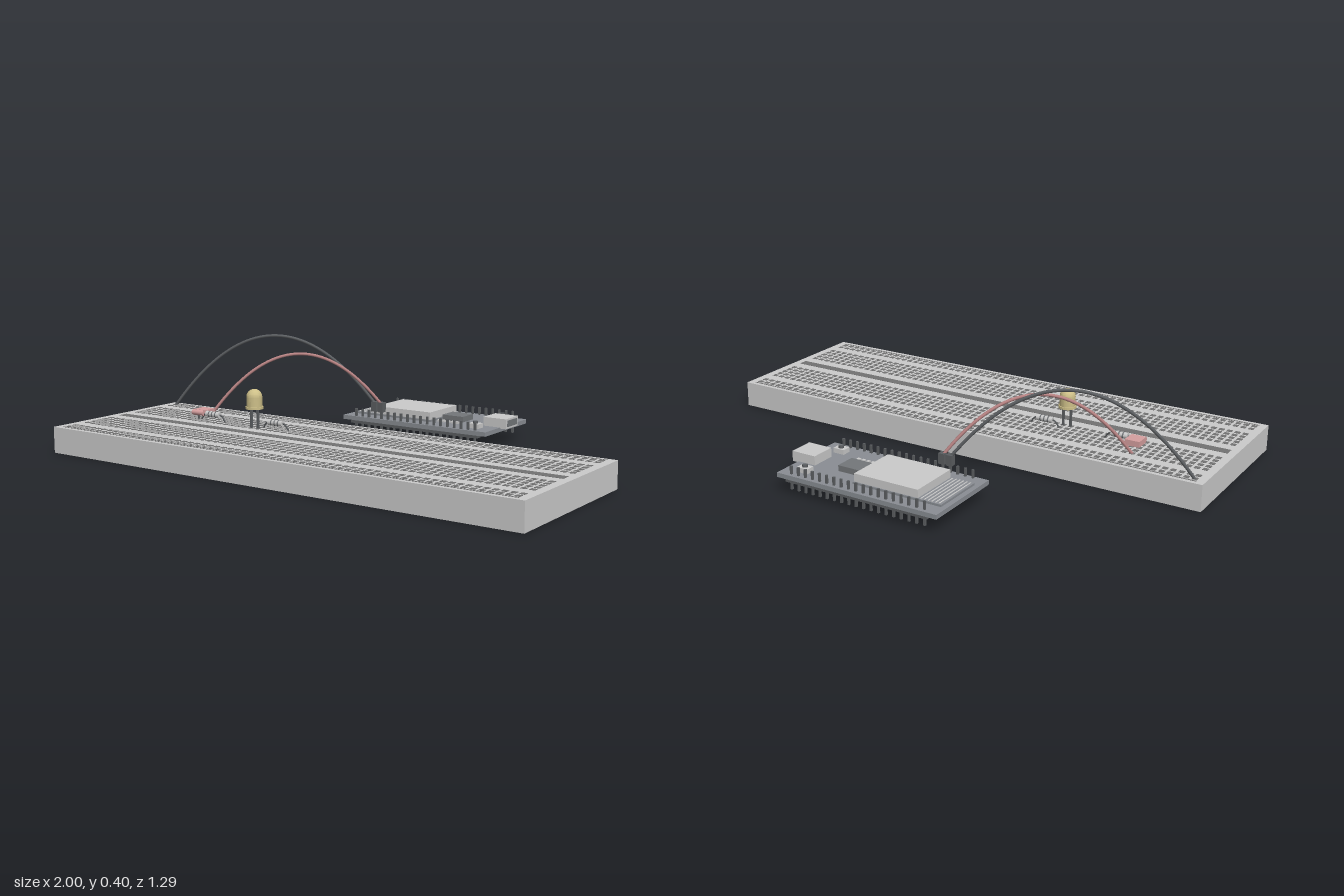
import * as THREE from 'three';
import { mergeGeometries } from 'three/addons/utils/BufferGeometryUtils.js';

const mat = (color) => new THREE.MeshStandardMaterial({ color });
const GREY = mat(0xcccccc);
const HOLE = mat(0x737373);
const DARK = mat(0x5c5f62);
const PCB = mat(0x8a8e94);
const CHIP = mat(0x74777a);
const METAL = mat(0xc4c6c8);
const PINK = mat(0xd6a0a0);
const RED = mat(0xb98484);
const YELLOW = mat(0xcdbf88);

export function createModel() {
  const root = new THREE.Group();

  function add(parent, name, geometry, material) {
    const mesh = new THREE.Mesh(geometry, material);
    mesh.name = name;
    parent.add(mesh);
    return mesh;
  }
  function group(name) {
    const g = new THREE.Group();
    g.name = name;
    root.add(g);
    return g;
  }
  // Box given by its limits on each axis
  function boxGeo(x0, x1, y0, y1, z0, z1) {
    return new THREE.BoxGeometry(x1 - x0, y1 - y0, z1 - z0)
      .translate((x0 + x1) / 2, (y0 + y1) / 2, (z0 + z1) / 2);
  }
  const box = (parent, name, mtl, ...limits) => add(parent, name, boxGeo(...limits), mtl);
  const PITCH = 0.0309;

  // Breadboard: slab, centre channel, rail lines and rows of holes
  const board = group('breadboard');
  const mid = 0.312;
  box(board, 'boardBody', GREY, -1, 1, 0, 0.1, -0.02, 0.645);
  box(board, 'centreChannel', HOLE, -0.97, 0.97, 0.095, 0.101, mid - 0.019, mid + 0.019);
  const holes = [];
  const offsets = [0.074, 0.105, 0.136, 0.167, 0.198, 0.262, 0.293];
  for (const side of [-1, 1]) {
    box(board, 'railLine', HOLE, -0.97, 0.97, 0.098, 0.1008,
      mid + side * 0.312 - 0.003, mid + side * 0.312 + 0.003);
    for (const o of offsets) {
      for (let c = -31; c <= 31; c++) {
        const x = c * PITCH, z = mid + side * o;
        holes.push(boxGeo(x - 0.01, x + 0.01, 0.098, 0.101, z - 0.01, z + 0.01));
      }
    }
  }
  add(board, 'holes', mergeGeometries(holes), HOLE);

  // Controller board with pin headers
  const ctrl = group('controllerBoard');
  box(ctrl, 'circuitBoard', PCB, -0.335, 0.33, 0.055, 0.072, -0.645, -0.31);
  const pins = [];
  for (const z of [-0.628, -0.322]) {
    box(ctrl, 'pinHeader', DARK, -0.295, 0.295, 0.044, 0.055, z - 0.014, z + 0.014);
    for (let i = -9; i <= 9; i++) {
      const x = i * PITCH;
      pins.push(boxGeo(x - 0.004, x + 0.004, 0.014, 0.103, z - 0.004, z + 0.004));
    }
  }
  add(ctrl, 'pins', mergeGeometries(pins), DARK);

  // Radio module with shield and antenna strips
  box(ctrl, 'modulePlate', PCB, -0.315, 0.045, 0.072, 0.08, -0.585, -0.373);
  box(ctrl, 'moduleShield', METAL, -0.22, 0.042, 0.08, 0.11, -0.58, -0.376);
  for (let i = 0; i < 6; i++) {
    const x = -0.304 + i * 0.0145;
    box(ctrl, 'antennaStrip', METAL, x - 0.002, x + 0.002, 0.079, 0.082, -0.58, -0.378);
  }

  // Chip, socket, buttons and small components
  box(ctrl, 'chip', CHIP, 0.06, 0.155, 0.072, 0.094, -0.52, -0.44);
  box(ctrl, 'usbSocket', METAL, 0.255, 0.355, 0.068, 0.107, -0.525, -0.428);
  box(ctrl, 'usbOpening', CHIP, 0.345, 0.357, 0.075, 0.1, -0.514, -0.439);
  for (const z of [-0.585, -0.373]) {
    box(ctrl, 'buttonBase', METAL, 0.228, 0.274, 0.072, 0.09, z - 0.018, z + 0.018);
    add(ctrl, 'buttonCap', new THREE.CylinderGeometry(0.01, 0.01, 0.009, 16), DARK)
      .position.set(0.251, 0.094, z);
  }
  for (let i = 0; i < 5; i++) {
    const x = 0.066 + i * 0.021;
    box(ctrl, 'smallComponent', METAL, x - 0.006, x + 0.006, 0.072, 0.08, -0.413, -0.398);
  }

  // Jumper wires: arched lead with a plug on the controller pins
  const wires = group('jumperWires');
  function wire(name, mtl, start, peak, px) {
    const a = new THREE.Vector3(...start);
    const b = new THREE.Vector3(px, 0.13, -0.322);
    const c = a.clone().add(b).multiplyScalar(0.5);
    c.y = 2 * peak - c.y;
    const curve = new THREE.QuadraticBezierCurve3(a, c, b);
    add(wires, name, new THREE.TubeGeometry(curve, 48, 0.006, 8), mtl);
    box(wires, name + 'Plug', DARK, px - 0.012, px + 0.012, 0.1, 0.14, -0.334, -0.31);
  }
  wire('darkWire', DARK, [-0.957, 0.098, 0.019], 0.398, -6 * PITCH);
  wire('redWire', RED, [-0.68, 0.098, 0.114], 0.34, -5 * PITCH);

  // Light: domed lens with a flange, on two legs
  const led = group('light');
  led.position.set(-0.355, 0, 0.235);
  const profile = [[0, 0.175], [0.034, 0.175], [0.034, 0.184], [0.03, 0.184], [0.03, 0.22]]
    .map(([r, y]) => new THREE.Vector2(r, y));
  for (let i = 1; i <= 8; i++) {
    const t = (i / 8) * Math.PI / 2;
    profile.push(new THREE.Vector2(Math.max(0, 0.03 * Math.cos(t)), 0.22 + 0.03 * Math.sin(t)));
  }
  const lens = new THREE.LatheGeometry(profile, 28).toNonIndexed();
  lens.computeVertexNormals();
  add(led, 'lens', lens, YELLOW);
  for (const x of [-PITCH / 2, PITCH / 2]) {
    box(led, 'lightLeg', DARK, x - 0.004, x + 0.004, 0.098, 0.176, -0.004, 0.004);
  }

  // Resistors: body along x, leads bent down into the board
  for (const x of [-0.588, -0.278]) {
    const r = group('resistor');
    r.position.set(x, 0.124, 0.204);
    add(r, 'resistorBody', new THREE.CylinderGeometry(0.012, 0.012, 0.066, 16).rotateZ(Math.PI / 2), GREY);
    for (const b of [-0.016, 0, 0.016]) {
      add(r, 'resistorBand', new THREE.CylinderGeometry(0.0125, 0.0125, 0.005, 16).rotateZ(Math.PI / 2), CHIP)
        .position.x = b;
    }
    for (const s of [-1, 1]) {
      const path = new THREE.CatmullRomCurve3([
        new THREE.Vector3(s * 0.03, 0, 0), new THREE.Vector3(s * 0.042, -0.002, 0),
        new THREE.Vector3(s * 0.062, -0.026, 0)]);
      add(r, 'resistorLead', new THREE.TubeGeometry(path, 10, 0.003, 6), DARK);
    }
  }

  // Pink component beside the first resistor
  const part = group('pinkComponent');
  box(part, 'pinkBody', PINK, -0.692, -0.634, 0.113, 0.135, 0.145, 0.2);
  add(part, 'pinkEnd', new THREE.CylinderGeometry(0.011, 0.011, 0.056, 16).rotateZ(Math.PI / 2), PINK)
    .position.set(-0.663, 0.124, 0.204);
  box(part, 'pinkLeg', DARK, -0.666, -0.66, 0.098, 0.116, 0.201, 0.207);

  return root;
}
